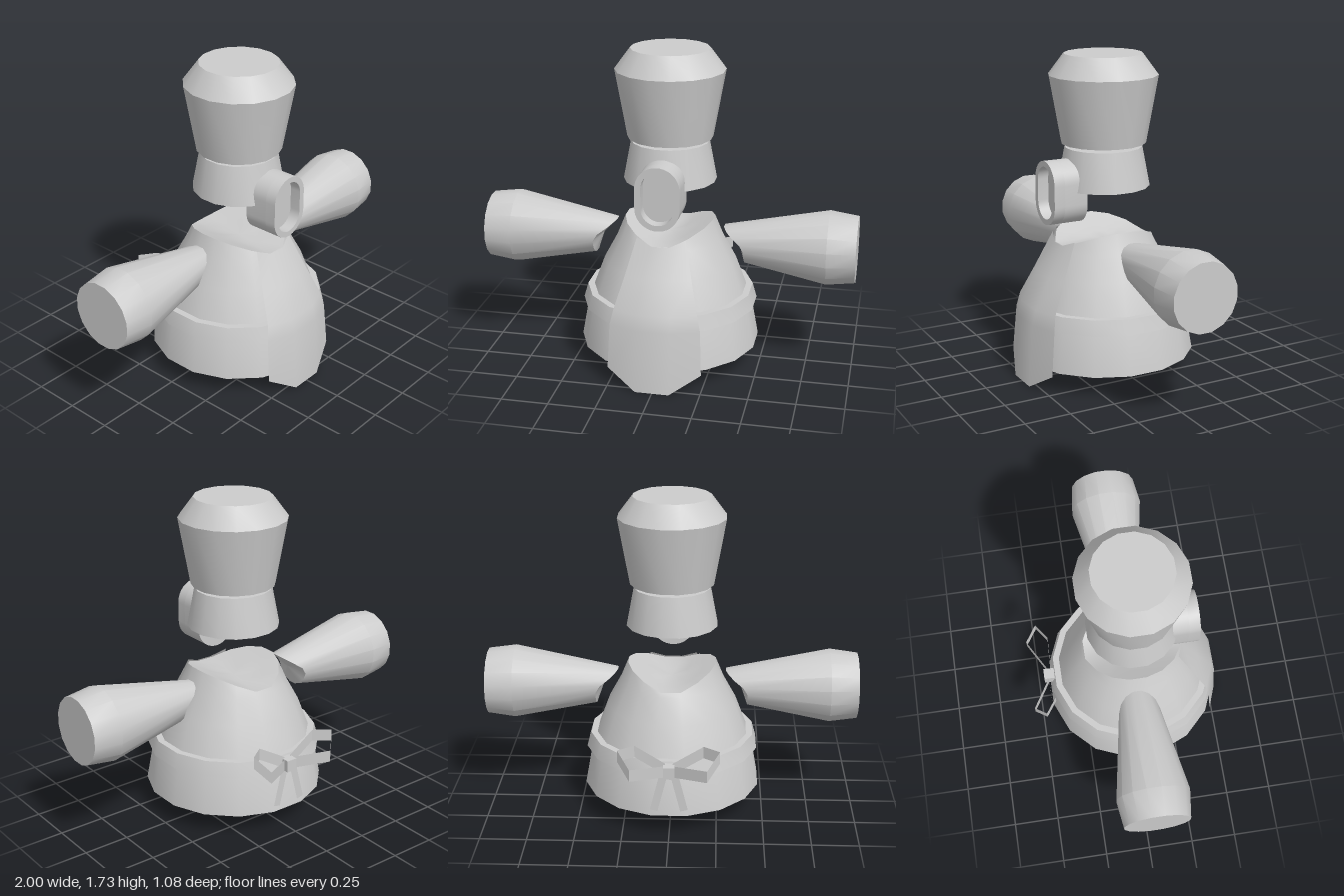
import * as THREE from 'three';
import { toCreasedNormals } from 'three/addons/utils/BufferGeometryUtils.js';

const SIDES = 16;
const AXIS_Z = 0.045;
const material = new THREE.MeshStandardMaterial({ color: 0xcccccc });
const thin = new THREE.MeshStandardMaterial({ color: 0xcccccc, side: THREE.DoubleSide });

function add(parent, name, geometry, mat = material) {
  const mesh = new THREE.Mesh(geometry, mat);
  mesh.name = name;
  parent.add(mesh);
  return mesh;
}

// Turned form from [radius, height] pairs, with a flat side facing front
function turned(profile) {
  const points = profile.map(([r, y]) => new THREE.Vector2(r, y));
  return new THREE.LatheGeometry(points, SIDES, Math.PI / SIDES);
}

const crease = (geometry) => toCreasedNormals(geometry, 0.5);

// Move every vertex by a rule
function reshape(geometry, rule) {
  const pos = geometry.attributes.position;
  const v = new THREE.Vector3();
  for (let i = 0; i < pos.count; i++) {
    rule(v.fromBufferAttribute(pos, i));
    pos.setXYZ(i, v.x, v.y, v.z);
  }
  return geometry;
}

// Surface through rows of points, each row ordered left to right, top row first
function loft(rows) {
  const n = rows[0].length;
  const index = [];
  for (let r = 0; r < rows.length - 1; r++) {
    for (let c = 0; c < n - 1; c++) {
      const a = r * n + c, b = a + n;
      index.push(a, b, a + 1, b, b + 1, a + 1);
    }
  }
  const g = new THREE.BufferGeometry();
  g.setAttribute('position', new THREE.Float32BufferAttribute(rows.flat(2), 3));
  g.setIndex(index);
  return crease(g);
}

// Flat ribbon along a path, widened by a vector
function ribbon(path, width) {
  return loft([path.map((p) => p.map((v, i) => v + width[i])), path]);
}

function capsule(halfWidth, halfHeight, Type = THREE.Shape) {
  const s = new Type();
  const k = halfHeight - halfWidth;
  s.absarc(0, k, halfWidth, 0, Math.PI, false);
  s.absarc(0, -k, halfWidth, Math.PI, Math.PI * 2, false);
  s.closePath();
  return s;
}

export function createModel() {
  const model = new THREE.Group();

  // Dress, its neckline dipping at front and back
  const dress = reshape(
    turned([[0, 0.12], [0.485, 0.12], [0.445, 0.34], [0.415, 0.42], [0.355, 0.58],
      [0.285, 0.71], [0.24, 0.82], [0.16, 0.82], [0.08, 0.82], [0, 0.82]]),
    (v) => {
      if (v.y < 0.8) return;
      v.y = 0.73 + 0.45 * Math.max(0, Math.abs(v.x) - 0.04);
      const spread = 1 + 1.4 * Math.max(0, 0.82 - v.y);
      v.x *= spread;
      v.z *= spread;
    });
  add(model, 'dress', crease(dress)).position.z = AXIS_Z;

  // Waistband
  const band = turned([[0.43, 0.34], [0.473, 0.34], [0.45, 0.42], [0.4, 0.42]]);
  add(model, 'waistband', crease(band), thin).position.z = AXIS_Z;

  // Apron: outer edge x, y, z then inner column x, y, z of each row
  const apronRows = [
    [0.13, 0.77, 0.285, 0.045, 0.735, 0.318],
    [0.178, 0.58, 0.37, 0.075, 0.58, 0.41],
    [0.222, 0.42, 0.445, 0.09, 0.42, 0.495],
    [0.24, 0.34, 0.46, 0.09, 0.34, 0.517],
    [0.25, 0.1, 0.48, 0.09, 0, 0.54],
  ].map(([ox, oy, oz, ix, iy, iz]) => [[-ox, oy, oz], [-ix, iy, iz], [ix, iy, iz], [ox, oy, oz]]);
  add(model, 'apron', loft(apronRows), thin);

  // Arms, their inner ends cut to the slope of the shoulder
  const arm = turned([[0, 0.37], [0.115, 0.41], [0.2, 0.85], [0.18, 1], [0, 1]]);
  arm.rotateZ(-Math.PI / 2);
  reshape(arm, (v) => {
    if (v.x > 0.5) return;
    const up = Math.max(0, v.y / 0.115);
    v.x -= 0.12 * up;
    v.y -= 0.03 * up;
  });
  const armGeometry = crease(arm);
  for (const [name, turn] of [['leftArm', 0], ['rightArm', Math.PI]]) {
    const mesh = add(model, name, armGeometry);
    mesh.position.set(0, 0.69, 0.03);
    mesh.rotation.y = turn;
  }

  // Hat band and tall hat
  add(model, 'hatBand', crease(turned([[0, 1.03], [0.247, 1.03], [0.207, 1.24], [0, 1.24]])))
    .position.z = AXIS_Z;
  add(model, 'hat', crease(turned([[0, 1.26], [0.226, 1.26], [0.29, 1.62], [0.208, 1.73], [0, 1.73]])))
    .position.z = AXIS_Z;

  // Snout: solid back and raised rim around a recess
  const snout = new THREE.Group();
  snout.name = 'snout';
  snout.position.y = 1.02;
  model.add(snout);
  const extrude = (shape, depth) =>
    crease(new THREE.ExtrudeGeometry(shape, { depth, bevelEnabled: false, curveSegments: 10 }));
  add(snout, 'snoutBase', extrude(capsule(0.117, 0.17), 0.13)).position.z = 0.2;
  const rim = capsule(0.117, 0.17);
  rim.holes.push(capsule(0.085, 0.14, THREE.Path));
  add(snout, 'snoutRim', extrude(rim, 0.06)).position.z = 0.33;

  // Bow at the back: knot, two loops and two tails
  const bow = new THREE.Group();
  bow.name = 'bow';
  model.add(bow);
  add(bow, 'knot', new THREE.BoxGeometry(0.06, 0.065, 0.06)).position.set(0, 0.38, -0.43);
  for (const s of [1, -1]) {
    const side = s > 0 ? 'left' : 'right';
    add(bow, side + 'Loop', ribbon([
      [s * 0.02, 0.345, -0.43], [s * 0.2, 0.37, -0.535], [s * 0.265, 0.45, -0.47],
      [s * 0.18, 0.45, -0.41], [s * 0.02, 0.355, -0.42],
    ], [0, 0.065, 0]), thin);
    add(bow, side + 'Tail', ribbon([
      [s * 0.005, 0.37, -0.435], [s * 0.06, 0.15, -0.437],
    ], [s * 0.04, 0.01, 0]), thin);
  }

  return model;
}
